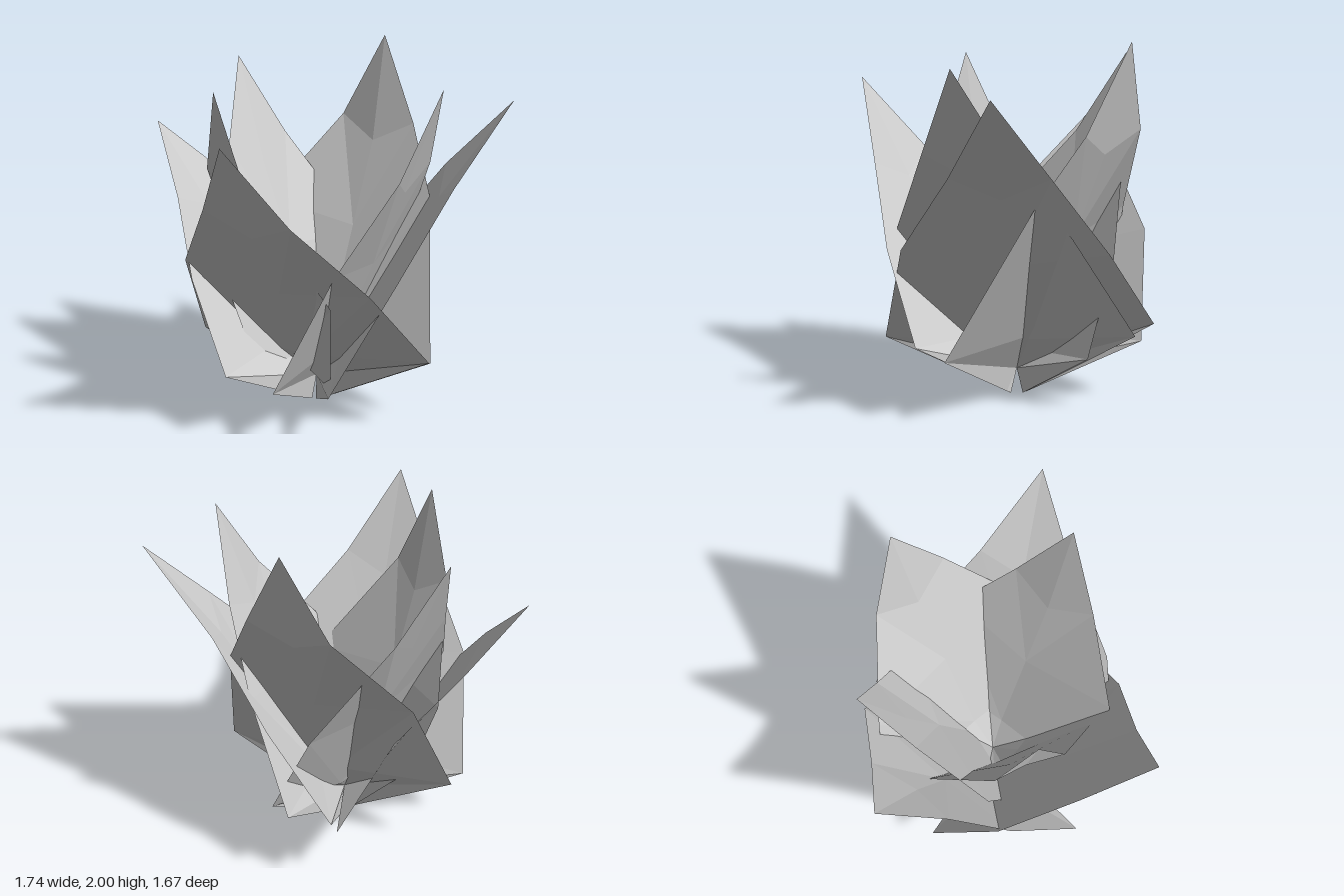
import * as THREE from 'three';

const V = (p) => new THREE.Vector3(...p);
const BASE = new THREE.Vector3(0.07, 0, 0.07);

// One folded petal: a strip of left / midrib / right rows that ends in a point.
// low, mid and high are rows from the shoulder upwards, each as [left, right].
function makePetal(name, tip, low, mid, high, material) {
  const end = V(tip);
  const out = end.clone().sub(BASE).setY(0).normalize();
  const side = V(low[1]).sub(V(low[0])).setY(0).normalize();

  // the midrib dips below the two edges, and runs straight from low to high
  const ribOf = ([l, r], shift, drop) => {
    const rib = V(l).add(V(r)).multiplyScalar(0.5).addScaledVector(out, shift);
    rib.y -= drop;
    return rib;
  };
  const lowRib = ribOf(low, 0.04, 0.05);
  const highRib = ribOf(high, -0.055, 0.12);
  const midRib = lowRib.clone().lerp(highRib, 0.55);

  const points = [
    // notched foot: the two edges reach the ground, the midrib stays above it
    BASE.clone().addScaledVector(side, -0.06),
    BASE.clone().setY(0.13),
    BASE.clone().addScaledVector(side, 0.06),
    V(low[0]), lowRib, V(low[1]),
    V(mid[0]), midRib, V(mid[1]),
    V(high[0]), highRib, V(high[1]),
    end,
  ];

  const index = [];
  for (let row = 0; row < 3; row++) {
    const a = row * 3;
    // mirrored diagonals on either side of the midrib
    index.push(a, a + 1, a + 3, a + 1, a + 4, a + 3);
    index.push(a + 1, a + 2, a + 5, a + 1, a + 5, a + 4);
  }
  index.push(9, 10, 12, 10, 11, 12);

  const geometry = new THREE.BufferGeometry().setFromPoints(points);
  geometry.setIndex(index);
  const flat = geometry.toNonIndexed();
  flat.computeVertexNormals();
  const mesh = new THREE.Mesh(flat, material);
  mesh.name = name;
  return mesh;
}

export function createModel() {
  const group = new THREE.Group();
  group.name = 'petalRosette';
  const material = new THREE.MeshStandardMaterial({
    color: 0xcccccc, flatShading: true, side: THREE.DoubleSide,
  });
  const petal = (name, tip, low, mid, high) =>
    group.add(makePetal(name, tip, low, mid, high, material));

  // three wide-spread outer petals
  petal('outerPetalFrontRight', [-0.87, 1.73, 0.52],
    [[-0.31, 0.32, -0.52], [0.25, 0.42, 0.83]],
    [[-0.61, 0.89, -0.24], [-0.13, 0.87, 0.78]],
    [[-0.75, 1.31, 0.17], [-0.53, 1.28, 0.63]]);
  petal('outerPetalFrontLeft', [0.87, 1.77, 0.76],
    [[-0.33, 0.32, 0.69], [0.67, 0.45, -0.43]],
    [[0.04, 0.9, 0.79], [0.76, 0.9, -0.05]],
    [[0.46, 1.34, 0.75], [0.78, 1.34, 0.34]]);
  petal('outerPetalBack', [-0.4, 1.53, -0.84],
    [[0.6, 0.34, -0.4], [-0.68, 0.38, 0.25]],
    [[0.37, 0.91, -0.6], [-0.62, 0.8, -0.16]],
    [[-0.04, 1.2, -0.72], [-0.5, 1.17, -0.48]]);

  // four upright inner petals
  petal('innerPetalFront', [0.41, 1.88, 0.7],
    [[-0.53, 0.32, 0.47], [0.78, 0.44, -0.21]],
    [[-0.26, 0.96, 0.64], [0.7, 1.0, 0.15]],
    [[0.12, 1.42, 0.7], [0.56, 1.41, 0.45]]);
  petal('innerPetalLeft', [0.75, 2.0, -0.18],
    [[0.36, 0.35, 0.72], [-0.03, 0.47, -0.67]],
    [[0.65, 1.16, 0.36], [0.2, 1.02, -0.58]],
    [[0.74, 1.53, 0.1], [0.6, 1.52, -0.37]]);
  petal('innerPetalBack', [0.07, 1.88, -0.69],
    [[0.68, 0.33, 0.03], [-0.32, 0.26, 0.03]],
    [[0.6, 0.83, -0.2], [-0.45, 0.96, -0.22]],
    [[0.28, 1.43, -0.52], [-0.14, 1.42, -0.49]]);
  petal('innerPetalRight', [-0.56, 1.87, 0],
    [[0.05, 0.47, -0.42], [-0.12, 0.22, 0.44]],
    [[-0.14, 0.83, -0.46], [-0.23, 0.76, 0.58]],
    [[-0.48, 1.4, -0.2], [-0.51, 1.39, 0.2]]);

  return group;
}
